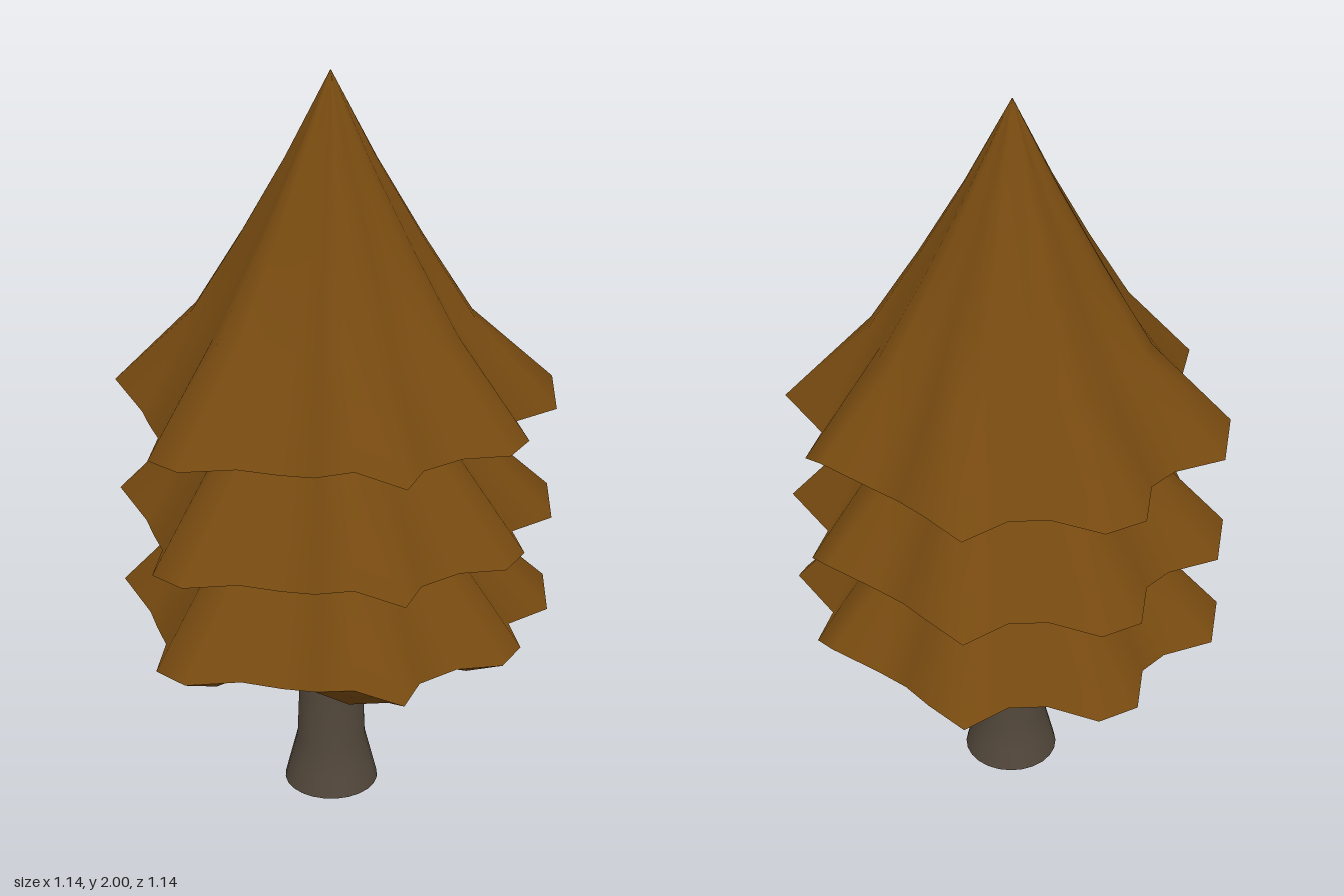
import * as THREE from 'three';

const foliage = new THREE.MeshStandardMaterial({ color: 0x774a10, side: THREE.DoubleSide });
foliage.name = 'brown foliage';
const bark = new THREE.MeshStandardMaterial({ color: 0x51463a });
bark.name = 'grey bark';

const CX = -0.015; // trunk axis
const TOP_RIM = 1.13;

// Lobed rim outline as x, z pairs
const RIM = [
  0.10, -0.575, 0.19, -0.54, 0.255, -0.41, 0.33, -0.35, 0.45, -0.32, 0.50, -0.22, 0.47, -0.10, 0.57, 0.0,
  0.56, 0.11, 0.44, 0.18, 0.445, 0.31, 0.38, 0.40, 0.26, 0.405, 0.155, 0.465, 0.10, 0.57, -0.025, 0.565,
  -0.11, 0.475, -0.19, 0.45, -0.29, 0.405, -0.43, 0.405, -0.50, 0.325, -0.47, 0.185, -0.49, 0.09, -0.505, 0.0,
  -0.57, -0.11, -0.55, -0.22, -0.42, -0.275, -0.36, -0.34, -0.34, -0.485, -0.24, -0.54, -0.11, -0.485, -0.01, -0.49,
];
const N = RIM.length / 2;
const RAISED = new Set([1, 4, 7, 15, 24]); // lobe corners lifted above the rim

const rim = Array.from({ length: N }, (_, i) => {
  const x = RIM[2 * i] - CX, z = RIM[2 * i + 1];
  return { r: Math.hypot(x, z), a: Math.atan2(z, x), y: TOP_RIM + (RAISED.has(i) ? 0.05 : 0) };
});

// Joins rings of N points, from top to bottom, into a smooth skin
function loft(rings) {
  const pos = [], index = [];
  rings.forEach((ring) => ring.forEach((p) => pos.push(...p)));
  for (let j = 0; j < rings.length - 1; j++) {
    for (let i = 0; i < N; i++) {
      const k = (i + 1) % N;
      const u0 = j * N + i, u1 = j * N + k, l0 = u0 + N, l1 = u1 + N;
      index.push(u0, u1, l0, u1, l1, l0);
    }
  }
  const g = new THREE.BufferGeometry();
  g.setAttribute('position', new THREE.Float32BufferAttribute(pos, 3));
  g.setIndex(index);
  g.computeVertexNormals();
  return g;
}

const point = (r, a, y) => [r * Math.cos(a), y, r * Math.sin(a)];

// Ring of mean radius m whose lobes follow the rim by weight w
const ring = (y, m, w) => rim.map((p) => point(m * (1 + w * (p.r / 0.5 - 1)), p.a, y));
const rimRing = () => rim.map((p) => point(p.r, p.a, p.y));

// Underside, optionally sagging below the rim under the lobes
function underside(sag) {
  const drop = rim.map((p) => point(p.r * 0.8, p.a, TOP_RIM - (p.r > 0.52 ? sag : sag * 0.2)));
  return loft([rimRing(), drop, ring(TOP_RIM, 0.2, 0), ring(TOP_RIM, 0.001, 0)]);
}

export function createModel() {
  const model = new THREE.Group();
  model.name = 'tree';

  // Trunk with a flared foot
  const profile = [[0, 0], [0.13, 0], [0.115, 0.06], [0.095, 0.14], [0.088, 0.32], [0.08, 0.62]];
  const trunk = new THREE.Group();
  trunk.name = 'trunk';
  const stem = new THREE.Mesh(
    new THREE.LatheGeometry(profile.slice(1).map(([r, y]) => new THREE.Vector2(r, y)), 24), bark);
  stem.name = 'trunkStem';
  const foot = new THREE.Mesh(new THREE.CircleGeometry(0.13, 24).rotateX(Math.PI / 2), bark);
  foot.name = 'trunkFoot';
  trunk.add(stem, foot);
  trunk.position.x = CX;
  model.add(trunk);

  // Three identical foliage tiers stacked downwards
  const skin = loft([
    ring(2, 0.001, 0), ring(1.78, 0.108, 0.5), ring(1.58, 0.215, 0.55),
    ring(1.375, 0.33, 0.65), rimRing(),
  ]);
  [['topTier', 0, 0], ['middleTier', 0.31, 0], ['bottomTier', 0.583, 0.055]].forEach(([name, down, sag]) => {
    const tier = new THREE.Group();
    tier.name = name;
    const outer = new THREE.Mesh(skin, foliage);
    outer.name = name + 'Skirt';
    const under = new THREE.Mesh(underside(sag), foliage);
    under.name = name + 'Underside';
    tier.add(outer, under);
    tier.position.set(CX, -down, 0);
    model.add(tier);
  });

  return model;
}
